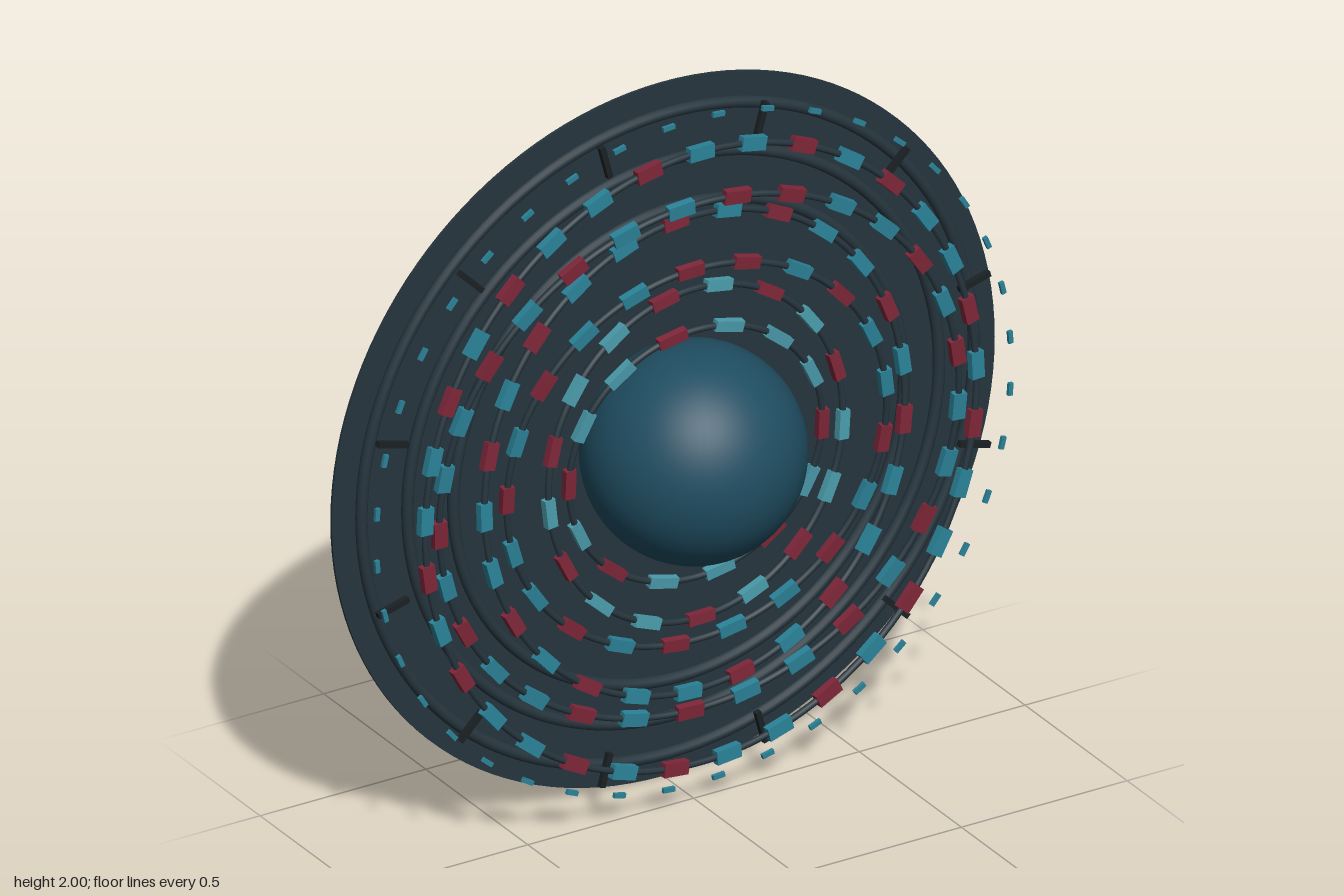
import * as THREE from 'three';

const mat = (color) => new THREE.MeshStandardMaterial({ color });
const DARK = mat(0x26353e), BLACK = mat(0x1a2024), CORE = mat(0x1f4d61);
const TEAL = mat(0x2a8298), PALE = mat(0x4a9aaa), RED = mat(0x7e2639);
const DEG = Math.PI / 180;

export function createModel() {
  const root = new THREE.Group();
  root.name = 'orbitalDisc';
  const centre = new THREE.Group(); // everything is arranged around the hub
  centre.name = 'assembly';
  centre.position.y = 1;
  root.add(centre);

  const add = (parent, name, geometry, material, x = 0, y = 0, z = 0) => {
    const mesh = new THREE.Mesh(geometry, material);
    mesh.name = name;
    mesh.position.set(x, y, z);
    parent.add(mesh);
    return mesh;
  };
  // Place a block on a circle, its local x along the tangent
  const addOnCircle = (parent, name, geometry, material, r, angle, z = 0) => {
    const mesh = add(parent, name, geometry, material, r * Math.cos(angle), r * Math.sin(angle), z);
    mesh.rotation.z = angle + Math.PI / 2;
    return mesh;
  };

  // Core sphere and thin back plate
  add(centre, 'core', new THREE.SphereGeometry(0.295, 64, 40), CORE);
  const plate = new THREE.CylinderGeometry(1, 1, 0.008, 128).rotateX(Math.PI / 2);
  add(centre, 'backPlate', plate, DARK, 0, 0, -0.152);

  // Stepped round rims in front of the plate
  for (const [r, z] of [[0.924, -0.127], [0.802, -0.1], [0.68, -0.073]]) {
    add(centre, 'rim', new THREE.TorusGeometry(r, 0.016, 12, 128), DARK, 0, 0, z);
  }

  // Tilted rings carrying coloured blocks
  // radius, z, tilt x, tilt y, block count, first angle, red offset, length, width, colour
  const rings = [
    [0.86, 0.035, -0.04, 0.052, 33, 88.6, 1, 0.075, 0.038, TEAL],
    [0.76, 0.027, 0.068, -0.052, 29, 84, 0, 0.075, 0.038, TEAL],
    [0.66, 0.005, -0.065, 0.062, 25, 93, 0, 0.075, 0.036, TEAL],
    [0.555, 0.015, 0.06, -0.055, 21, 94, 0, 0.075, 0.034, TEAL],
    [0.46, 0.01, -0.06, 0.055, 17, 79, 1, 0.08, 0.031, PALE],
    [0.37, 0.01, 0.06, -0.055, 14, 77, 1, 0.083, 0.03, PALE],
  ];
  for (const [r, z, tiltX, tiltY, count, first, red, length, width, color] of rings) {
    const ring = new THREE.Group();
    ring.name = 'orbitRing';
    ring.position.z = z;
    ring.rotation.set(tiltX, tiltY, 0);
    centre.add(ring);
    add(ring, 'orbitTube', new THREE.TorusGeometry(r, 0.009, 8, 128), DARK);
    const block = new THREE.BoxGeometry(length, width, 0.022);
    for (let i = 0; i < count; i++) {
      const isRed = (i + 5 - red) % 5 === 0 || (i + 5 - red) % 5 === 3;
      const angle = first * DEG + (i / count) * Math.PI * 2;
      addOnCircle(ring, 'orbitBlock', block, isRed ? RED : color, r, angle);
    }
  }

  // Radial spokes near the edge
  const spoke = new THREE.BoxGeometry(0.016, 0.095, 0.016);
  for (let i = 0; i < 12; i++) {
    addOnCircle(centre, 'spoke', spoke, BLACK, 0.908, (15 + i * 30) * DEG, -0.05);
  }

  // Outer circle of small floating markers
  const marker = new THREE.BoxGeometry(0.035, 0.013, 0.01);
  for (let i = 0; i < 40; i++) {
    addOnCircle(centre, 'marker', marker, TEAL, 0.958, (4.5 + i * 9) * DEG);
  }
  return root;
}
